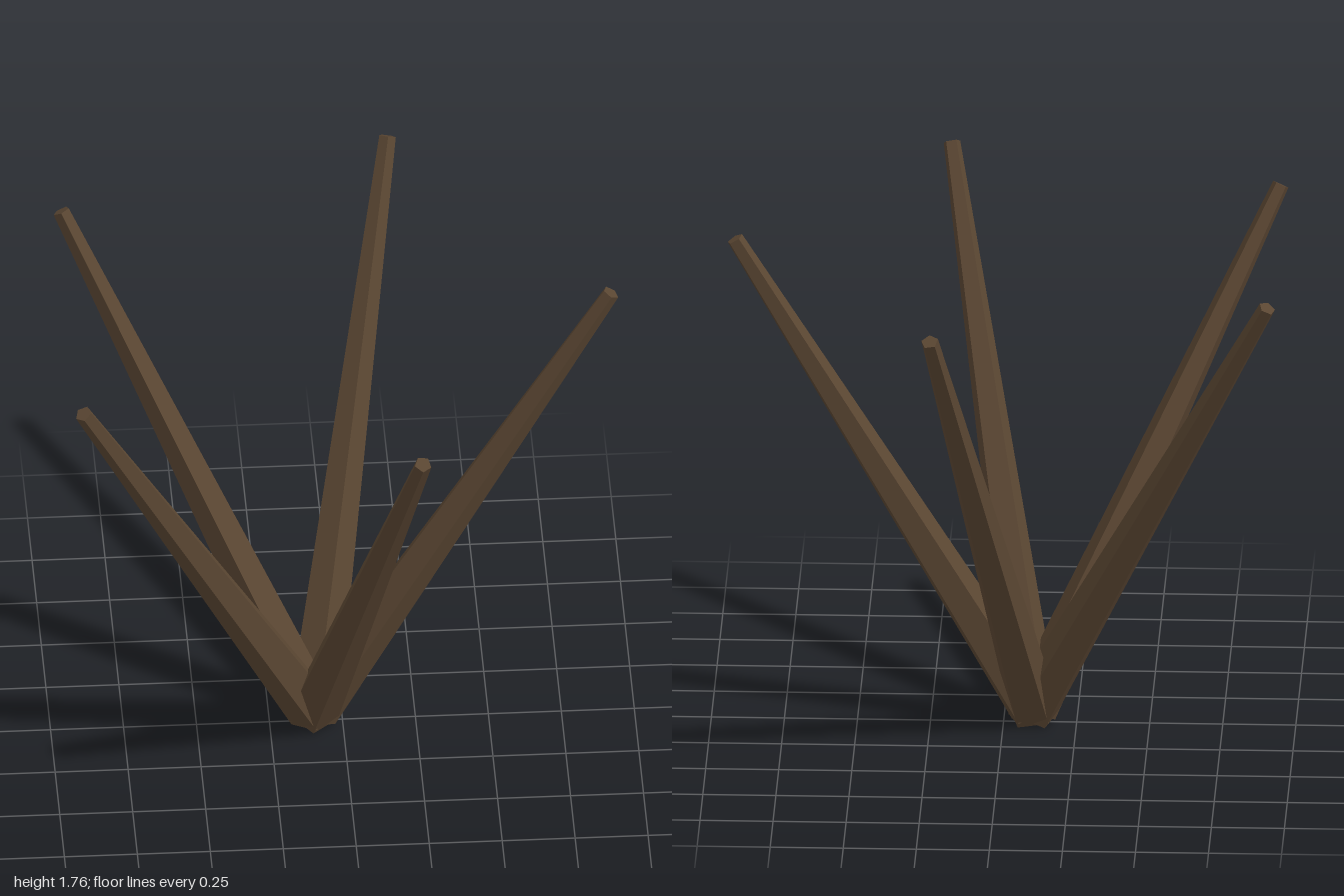
import * as THREE from 'three';

// Five tapered five-sided branches fanning out from a shared foot
export function createModel() {
  const group = new THREE.Group();
  group.name = 'branchCluster';

  const material = new THREE.MeshStandardMaterial({ color: 0x5a4632, flatShading: true });
  const count = 5;
  const reach = 1.02; // horizontal run of each branch
  const rise = 1.705; // vertical run
  const length = Math.hypot(reach, rise);

  // One branch: starts at the origin and leans towards +x
  const geometry = new THREE.CylinderGeometry(0.03, 0.09, length, 5);
  geometry.translate(0, length / 2, 0);
  geometry.rotateZ(-Math.atan2(reach, rise));

  for (let i = 0; i < count; i++) {
    const branch = new THREE.Mesh(geometry, material);
    branch.name = `branch${i + 1}`;
    branch.position.set(-0.1, 0.044, 0);
    branch.rotation.y = (i / count) * Math.PI * 2;
    group.add(branch);
  }
  return group;
}
